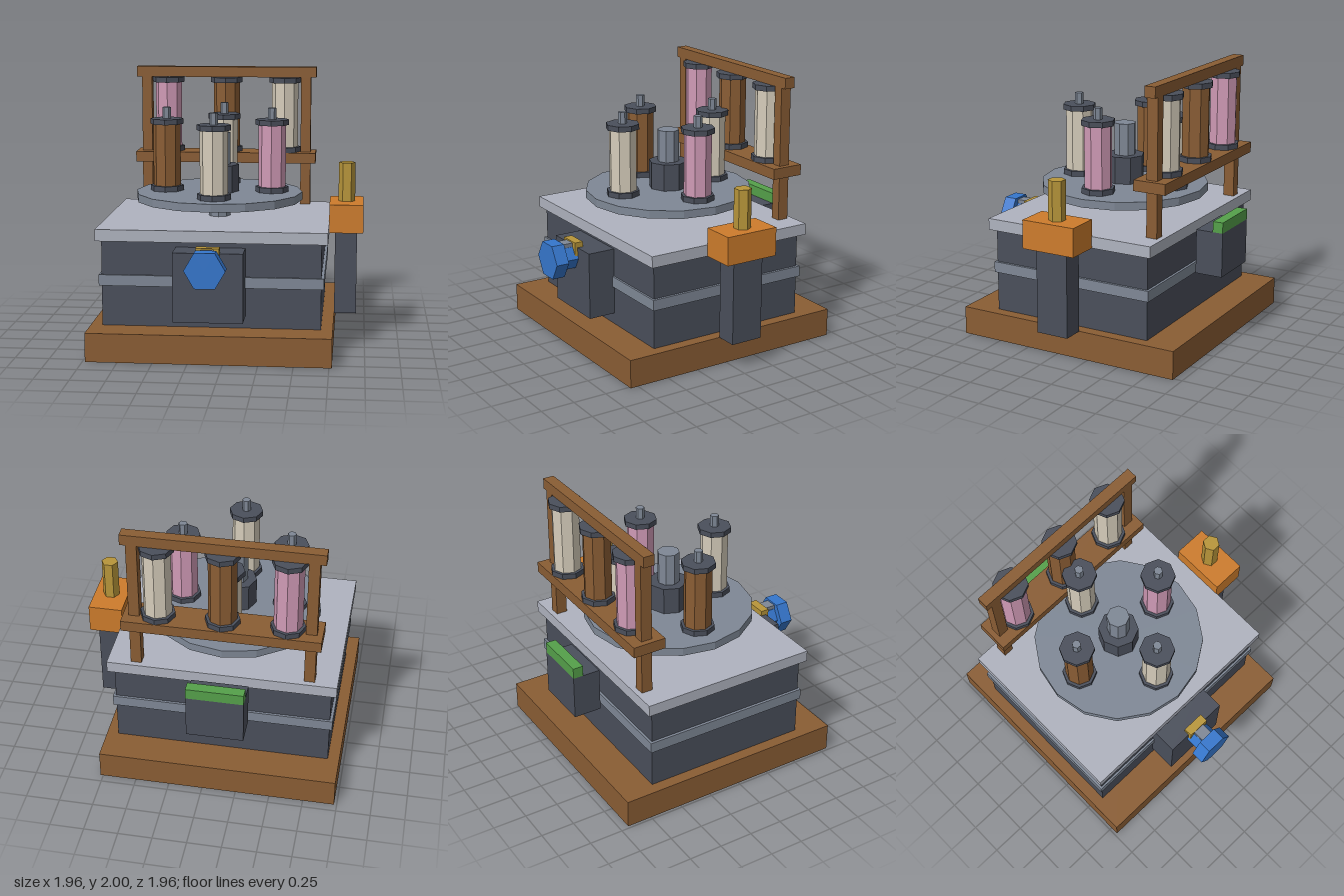
import * as THREE from 'three';

const mat = (name, color) => {
  const m = new THREE.MeshStandardMaterial({ color });
  m.name = name;
  return m;
};

export function createModel() {
  const model = new THREE.Group();
  model.name = 'spoolMachine';

  const wood = mat('wood', 0x8a5d34);
  const dark = mat('darkSteel', 0x4a4f5b);
  const steel = mat('steel', 0x7f8896);
  const plate = mat('lightPlate', 0xafb3bf);
  const cream = mat('creamThread', 0xd5ccba);
  const pink = mat('pinkThread', 0xd09ab6);
  const orange = mat('orangePaint', 0xcd7c2c);
  const brass = mat('brass', 0xb8963a);
  const blue = mat('bluePaint', 0x3576cc);
  const green = mat('greenPaint', 0x55a04a);

  const add = (parent, name, geometry, material) => {
    const mesh = new THREE.Mesh(geometry, material);
    mesh.name = name;
    parent.add(mesh);
    return mesh;
  };

  // Box given by its limits on each axis
  const box = (name, material, [x0, x1], [y0, y1], [z0, z1]) => {
    const mesh = add(model, name, new THREE.BoxGeometry(x1 - x0, y1 - y0, z1 - z0), material);
    mesh.position.set((x0 + x1) / 2, (y0 + y1) / 2, (z0 + z1) / 2);
    return mesh;
  };

  // Upright faceted prism with a corner on +x
  const prism = (parent, name, material, sides, r, y0, y1, x = 0, z = 0) => {
    const geo = new THREE.CylinderGeometry(r, r, y1 - y0, sides, 1, false, Math.PI / 2).toNonIndexed();
    geo.computeVertexNormals();
    const mesh = add(parent, name, geo, material);
    mesh.position.set(x, (y0 + y1) / 2, z);
    return mesh;
  };

  const cx = -0.105, cz = -0.063;

  // Plinth and body
  box('plinth', wood, [-0.98, 0.77], [0, 0.21], [-0.937, 0.81]);
  box('body', dark, [-0.895, 0.685], [0.21, 0.835], [-0.687, 0.565]);
  box('bodyBand', steel, [-0.915, 0.705], [0.505, 0.585], [-0.705, 0.58]);
  box('topPlate', plate, [-0.935, 0.73], [0.835, 0.92], [-0.73, 0.605]);

  // Turntable
  prism(model, 'spindle', steel, 8, 0.082, 0.92, 1.55, cx, cz);
  prism(model, 'turntable', steel, 16, 0.626, 1.047, 1.107, cx, cz);
  prism(model, 'hub', dark, 8, 0.147, 1.107, 1.31, cx, cz);

  // Thread spool: two flanges, wound thread and a pin
  const spool = (name, thread, x, y, z, h, pinTop) => {
    const g = new THREE.Group();
    g.name = name;
    g.position.set(x, y, z);
    model.add(g);
    prism(g, 'lowerFlange', dark, 8, 0.125, 0, 0.04);
    prism(g, 'thread', thread, 8, 0.103, 0.04, h - 0.04);
    prism(g, 'upperFlange', dark, 8, 0.125, h - 0.04, h);
    prism(g, 'pin', steel, 6, 0.032, h, pinTop);
  };
  [cream, pink, cream, wood].forEach((thread, i) => {
    const a = i * Math.PI / 2;
    spool('turntableSpool', thread, cx + 0.396 * Math.sin(a), 1.107, cz + 0.396 * Math.cos(a), 0.543, 0.628);
  });

  // Rear rack with its spools
  for (const x of [-0.733, 0.52]) {
    box('rackPost', wood, [x - 0.039, x + 0.039], [0.92, 1.92], [-0.69, -0.607]);
  }
  box('rackBeam', wood, [-0.813, 0.6], [1.92, 2], [-0.69, -0.607]);
  box('rackShelf', wood, [-0.813, 0.6], [1.255, 1.335], [-0.772, -0.525]);
  [pink, wood, cream].forEach((thread, i) => {
    spool('rackSpool', thread, cx + (i - 1) * 0.46, 1.335, -0.648, 0.583, 0.64);
  });

  // Front panel with its knob, facing +z
  box('frontPanel', dark, [-0.355, 0.143], [0.295, 0.795], [0.565, 0.773]);
  const knobPart = (name, r, z0, z1) => {
    const mesh = prism(model, name, blue, 6, r, z0, z1);
    mesh.rotation.x = Math.PI / 2;
    mesh.position.set(cx, 0.713, (z0 + z1) / 2);
  };
  knobPart('knobNeck', 0.095, 0.773, 0.88);
  knobPart('knob', 0.145, 0.88, 0.978);
  box('knobGuide', steel, [cx - 0.045, cx + 0.045], [0.74, 0.825], [0.78, 0.88]);
  box('knobClip', brass, [cx - 0.083, cx + 0.083], [0.73, 0.835], [0.73, 0.795]);

  // Control post on the model's left
  box('controlPost', dark, [0.77, 0.933], [0.21, 0.835], [-0.185, 0.062]);
  box('controlBox', orange, [0.727, 0.978], [0.835, 1.045], [-0.268, 0.145]);
  prism(model, 'controlLever', brass, 6, 0.062, 1.045, 1.335, 0.853, cz);

  // Rear box with green strip
  box('rearBox', dark, [-0.312, 0.102], [0.55, 0.88], [-0.978, -0.77]);
  box('rearStrip', green, [-0.312, 0.102], [0.88, 0.96], [-0.978, -0.9]);

  return model;
}
